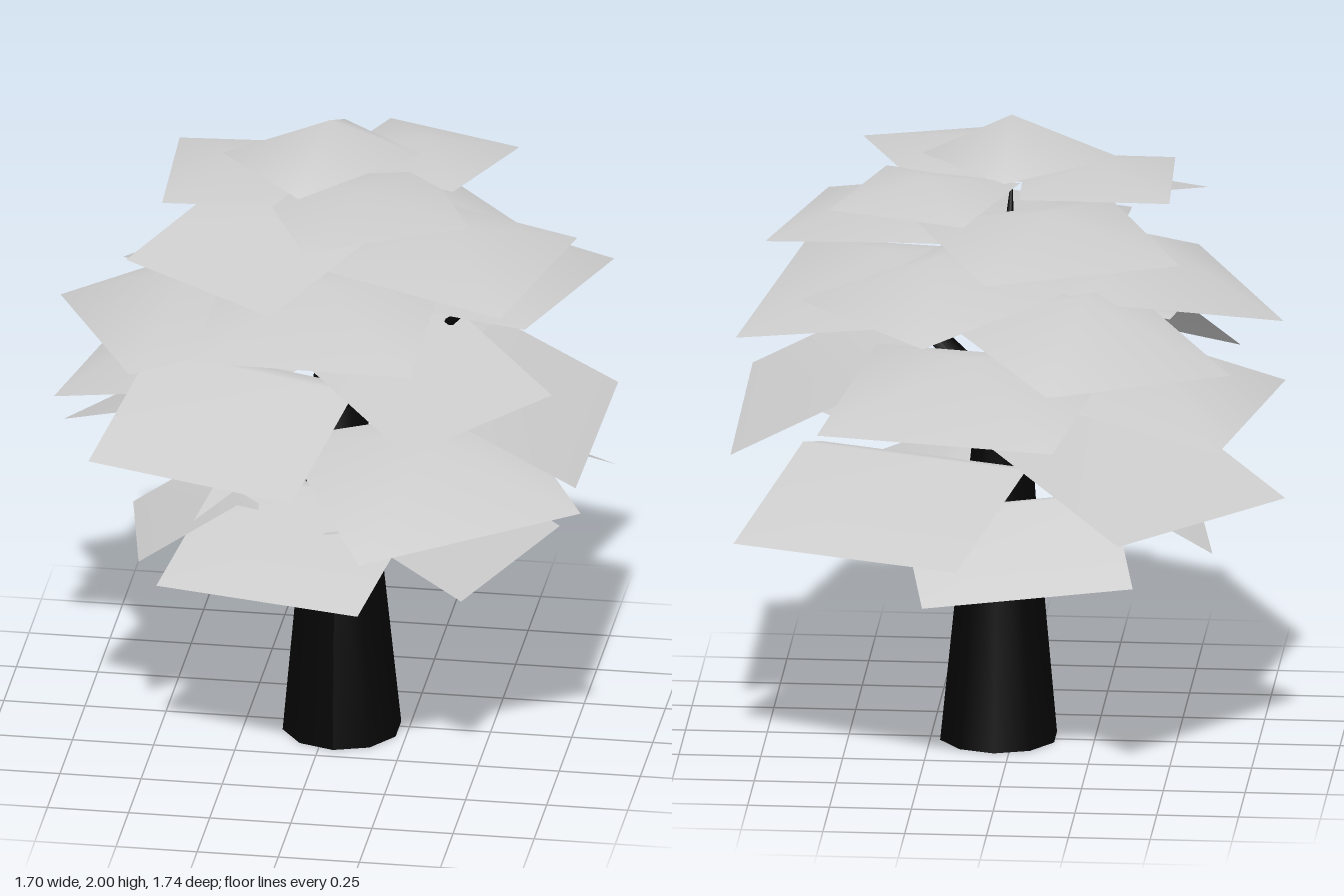
import * as THREE from 'three';

const foliage = new THREE.MeshStandardMaterial({ color: 0xcccccc, side: THREE.DoubleSide });
foliage.name = 'pale grey foliage';
const bark = new THREE.MeshStandardMaterial({ color: 0x050505 });
bark.name = 'black bark';

function leafMesh(points, index) {
  const geo = new THREE.BufferGeometry();
  geo.setAttribute('position', new THREE.Float32BufferAttribute(points.flat(), 3));
  geo.setIndex(index);
  geo.computeVertexNormals();
  const mesh = new THREE.Mesh(geo, foliage);
  mesh.name = 'leafPlate';
  return mesh;
}

// Four-cornered leaf plate with a raised middle
const peakedPlate = (corners, peak) =>
  leafMesh([...corners, peak], [0, 1, 4, 1, 2, 4, 2, 3, 4, 3, 0, 4]);

// Bough from its two outer corners and peak height; it reaches back towards the trunk.
// With a fold depth it is a sloping plate with a short lip behind its ridge.
function bough([ax, ay, az, bx, by, bz, peakY, fold]) {
  const width = Math.hypot(bx - ax, bz - az);
  const nx = -(bz - az) / width, nz = (bx - ax) / width;
  const mx = (ax + bx) / 2, mz = (az + bz) / 2;
  if (nx * mx + nz * mz > 0) {
    // swap the corners so that the upper face is in front
    return bough([bx, by, bz, ax, ay, az, peakY, fold]);
  }
  const depth = width * 0.95;
  const row = (d, ya, yb) => [[ax + nx * d, ya, az + nz * d], [bx + nx * d, yb, bz + nz * d]];
  const [a, b] = row(0, ay, by);
  if (fold) {
    const lean = (ay - by) / 2, lip = 0.3 * (depth - fold), drop = 0.25 * lip;
    const [ra, rb] = row(fold, peakY + lean, peakY - lean);
    const [ia, ib] = row(fold + lip, peakY + lean - drop, peakY - lean - drop);
    return leafMesh([a, b, ra, rb, ia, ib], [0, 2, 1, 1, 2, 3, 2, 4, 3, 3, 4, 5]);
  }
  const innerY = peakY - 0.12 * width;
  const [ia, ib] = row(depth, innerY, innerY);
  return peakedPlate([a, ia, ib, b], [mx + nx * depth / 2, peakY, mz + nz * depth / 2]);
}

// Each row: outer corner A (x, y, z), outer corner B (x, y, z), peak height, fold depth
const tiers = {
  crownTier: [
    [-0.50, 1.80, -0.27, -0.48, 1.80, 0.21, 1.865],
    [0.48, 1.82, 0.29, 0.00, 1.80, 0.51, 1.87],
    [0.11, 1.79, -0.53, 0.53, 1.79, -0.38, 1.865],
  ],
  upperTier: [
    [-0.545, 1.65, -0.42, 0.03, 1.655, -0.69, 1.765],
    [-0.57, 1.665, 0.345, -0.08, 1.64, 0.64, 1.755, 0.5],
    [0.745, 1.61, -0.14, 0.60, 1.60, 0.46, 1.735],
  ],
  middleTier: [
    [-0.31, 1.49, 0.68, 0.36, 1.49, 0.69, 1.635],
    [0.21, 1.49, -0.82, 0.62, 1.49, -0.35, 1.65],
    [0.81, 1.40, -0.46, 0.65, 1.49, 0.29, 1.60],
    [-0.83, 1.36, -0.03, -0.52, 1.40, 0.605, 1.58],
    [-0.70, 1.31, -0.44, -0.17, 1.35, -0.84, 1.53],
    [0.73, 1.265, 0.265, 0.36, 1.27, 0.78, 1.43, 0.42],
  ],
  wideTier: [
    [-0.65, 1.09, 0.58, 0.02, 1.125, 0.87, 1.34, 0.36],
    [-0.82, 1.11, 0.17, -0.67, 1.10, -0.575, 1.34],
    [0.83, 1.04, 0.44, 0.83, 1.01, -0.41, 1.23, 0.4],
    [-0.19, 1.18, -0.87, 0.54, 1.18, -0.735, 1.35],
    [0.85, 0.97, 0.47, 0.22, 0.91, 0.82, 1.13],
    [-0.85, 0.855, -0.22, -0.39, 0.885, -0.855, 1.12, 0.6],
  ],
  lowestTier: [
    [-0.45, 0.66, 0.52, 0.21, 0.72, 0.78, 0.91, 0.39],
    [0.695, 0.65, -0.12, 0.50, 0.705, 0.59, 0.84, 0.36],
    [0.82, 0.73, -0.42, 0.11, 0.77, -0.79, 0.97, 0.4],
    [0.23, 0.59, -0.59, -0.40, 0.615, -0.42, 0.80, 0.35],
    [-0.62, 0.64, -0.12, -0.52, 0.69, 0.42, 0.85, 0.3],
  ],
};

// Tapering trunk whose rings follow a slightly bent centre line: [y, radius, x, z]
function trunk() {
  const rings = [
    [0, 0.183, 0.045, 0.02], [0.7, 0.115, 0.04, 0.02], [1.05, 0.085, 0.03, -0.02],
    [1.3, 0.06, 0.015, -0.06], [1.5, 0.035, 0.01, -0.09], [1.65, 0.015, 0.005, -0.075],
    [1.79, 0.003, 0, -0.04],
  ];
  const geo = new THREE.LatheGeometry(rings.map(([y, r]) => new THREE.Vector2(r, y)), 10);
  const pos = geo.attributes.position;
  for (let i = 0; i < pos.count; i++) {
    const [, , cx, cz] = rings[i % rings.length];
    pos.setXYZ(i, pos.getX(i) + cx, pos.getY(i), pos.getZ(i) + cz);
  }
  geo.computeVertexNormals();
  const mesh = new THREE.Mesh(geo, bark);
  mesh.name = 'trunk';
  return mesh;
}

// Straight pointed branch between two points
function branch(from, to, radius) {
  const a = new THREE.Vector3(...from), dir = new THREE.Vector3(...to).sub(a);
  const length = dir.length();
  const geo = new THREE.CylinderGeometry(0.003, radius, length, 6).translate(0, length / 2, 0);
  const mesh = new THREE.Mesh(geo, bark);
  mesh.quaternion.setFromUnitVectors(new THREE.Vector3(0, 1, 0), dir.normalize());
  mesh.position.copy(a);
  mesh.name = 'branch';
  return mesh;
}

export function createModel() {
  const tree = new THREE.Group();
  tree.name = 'tree';
  tree.add(trunk());

  // Flat underside of the trunk, turned to meet its corners
  const base = new THREE.Mesh(new THREE.CircleGeometry(0.183, 10, Math.PI / 2), bark);
  base.rotation.x = Math.PI / 2;
  base.position.set(0.045, 0, 0.02);
  base.name = 'trunkBase';
  tree.add(base);

  tree.add(
    branch([0.05, 1.08, 0], [0.5, 1.52, 0.13], 0.05),
    branch([0.02, 1.0, -0.03], [-0.1, 1.27, -0.5], 0.045),
    branch([0.03, 1.03, 0], [-0.2, 1.13, 0.12], 0.04),
  );

  for (const [name, rows] of Object.entries(tiers)) {
    const tier = new THREE.Group();
    tier.name = name;
    rows.forEach((row) => tier.add(bough(row)));
    tree.add(tier);
  }

  // Small plate capping the tree
  const cap = peakedPlate(
    [[-0.05, 1.87, 0.27], [0.27, 1.885, -0.08], [0, 1.87, -0.33], [-0.33, 1.87, -0.03]],
    [0, 2, -0.035],
  );
  cap.name = 'topPlate';
  tree.add(cap);
  return tree;
}
